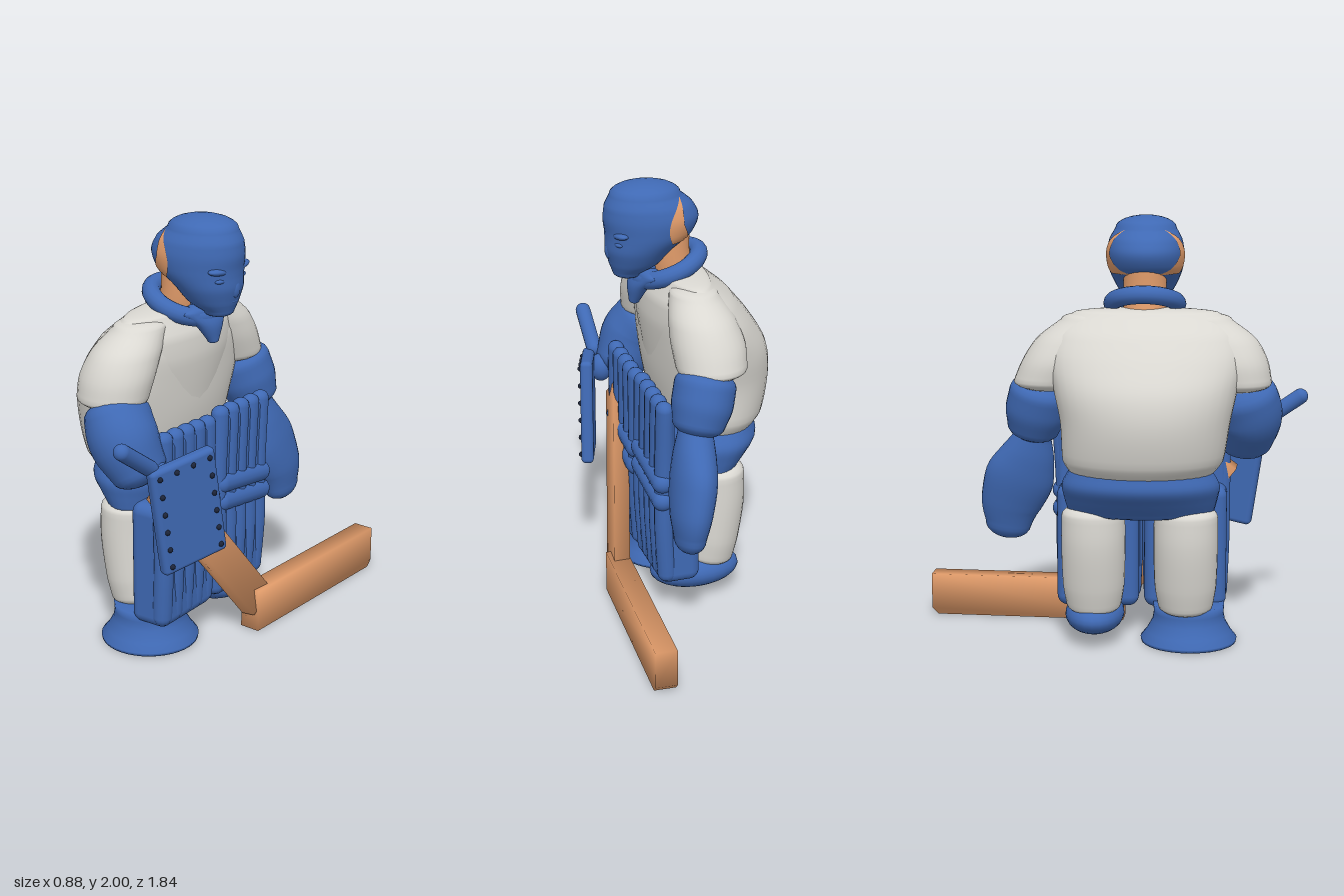
import * as THREE from 'three';
import { RoundedBoxGeometry } from 'three/addons/geometries/RoundedBoxGeometry.js';
import { mergeVertices } from 'three/addons/utils/BufferGeometryUtils.js';

const { Vector3, CatmullRomCurve3 } = THREE;

export function createModel() {
  const model = new THREE.Group();
  const mat = (name, color) => {
    const m = new THREE.MeshStandardMaterial({ color });
    m.name = name;
    return m;
  };
  const blue = mat('blue', 0x3f69b4);
  const white = mat('off white', 0xdad8d2);
  const wood = mat('wood and skin', 0xe39d6b);
  const dark = mat('dark rivets', 0x1c2438);
  wood.side = THREE.DoubleSide;

  const add = (name, geo, material, parent = model) => {
    const mesh = new THREE.Mesh(geo, material);
    mesh.name = name;
    parent.add(mesh);
    return mesh;
  };

  // smooth body through elliptical sections [x, y, z, radiusU, radiusZ], with domed ends
  const loft = (sections, { flat = false, cap = 0.6, sides = 28 } = {}) => {
    const path = new CatmullRomCurve3(sections.map(s => new Vector3(s[0], s[1], s[2])));
    const radii = new CatmullRomCurve3(sections.map(s => new Vector3(s[3], s[4], 0)));
    const up = new Vector3(0, Math.sign(sections[1][1] - sections[0][1]), 0);
    const rings = [], steps = (sections.length - 1) * 5, dome = 6;
    const ring = (t, scale, shift) => {
      const dir = flat ? up : path.getTangent(t);
      const r = radii.getPoint(t);
      const c = path.getPoint(t).addScaledVector(dir, shift * cap * Math.min(r.x, r.y));
      const u = new Vector3().crossVectors(dir, new Vector3(0, 0, 1)).normalize();
      const v = new Vector3().crossVectors(u, dir);
      rings.push({ c, u: u.multiplyScalar(r.x * scale), v: v.multiplyScalar(r.y * scale) });
    };
    for (let k = 0; k < dome; k++) {
      const a = (k / dome) * Math.PI / 2;
      ring(0, Math.max(Math.sin(a), 0.001), -Math.cos(a));
    }
    for (let i = 0; i <= steps; i++) ring(i / steps, 1, 0);
    for (let k = dome - 1; k >= 0; k--) {
      const a = (k / dome) * Math.PI / 2;
      ring(1, Math.max(Math.sin(a), 0.001), Math.cos(a));
    }
    const pos = [], idx = [];
    rings.forEach(({ c, u, v }, i) => {
      for (let j = 0; j < sides; j++) {
        const a = (j / sides) * Math.PI * 2;
        const p = c.clone().addScaledVector(u, Math.cos(a)).addScaledVector(v, Math.sin(a));
        pos.push(p.x, p.y, p.z);
        if (i === rings.length - 1) continue;
        const a0 = i * sides + j, a1 = i * sides + (j + 1) % sides;
        idx.push(a0, a0 + sides, a1, a1, a0 + sides, a1 + sides);
      }
    });
    const geo = new THREE.BufferGeometry();
    geo.setAttribute('position', new THREE.Float32BufferAttribute(pos, 3));
    geo.setIndex(idx);
    geo.computeVertexNormals();
    return geo;
  };

  const blob = (name, x, y, z, rx, ry, rz) => {
    const mesh = add(name, new THREE.SphereGeometry(1, 24, 16), blue);
    mesh.scale.set(rx, ry, rz);
    mesh.position.set(x, y, z);
    return mesh;
  };

  // wooden bars: shared corners with diagonal normals give soft shading
  const soften = geo => {
    geo.deleteAttribute('normal');
    geo.deleteAttribute('uv');
    const merged = mergeVertices(geo, 1e-4), p = merged.attributes.position;
    merged.computeBoundingBox();
    const mid = merged.boundingBox.getCenter(new Vector3()), normals = [];
    for (let i = 0; i < p.count; i++) {
      const n = new Vector3().fromBufferAttribute(p, i).sub(mid);
      n.set(Math.sign(n.x), Math.sign(n.y) * 0.7, Math.sign(n.z) * 0.5).normalize();
      normals.push(n.x, n.y, n.z);
    }
    merged.setAttribute('normal', new THREE.Float32BufferAttribute(normals, 3));
    return merged;
  };

  // jersey and shorts
  add('jersey', loft([
    [-0.14, 0.815, 0.14, 0.2, 0.31], [-0.155, 0.9, 0.15, 0.25, 0.37],
    [-0.16, 1.08, 0.16, 0.28, 0.39], [-0.14, 1.22, 0.16, 0.28, 0.42],
    [-0.09, 1.36, 0.16, 0.245, 0.45], [-0.05, 1.47, 0.16, 0.195, 0.43],
    [-0.02, 1.56, 0.16, 0.115, 0.34],
  ], { flat: true, cap: 0.22, sides: 40 }), white);
  add('jerseyChest', loft([
    [0.0, 0.95, 0.16, 0.1, 0.34], [0.01, 1.1, 0.16, 0.115, 0.38], [0.015, 1.25, 0.16, 0.12, 0.43],
    [0.015, 1.4, 0.16, 0.122, 0.44], [-0.005, 1.52, 0.16, 0.1, 0.39],
  ], { flat: true, cap: 0.5, sides: 40 }), white);
  add('shorts', loft([
    [-0.11, 0.65, 0.14, 0.16, 0.34], [-0.125, 0.71, 0.14, 0.195, 0.355],
    [-0.14, 0.78, 0.14, 0.23, 0.365], [-0.15, 0.85, 0.14, 0.21, 0.33],
  ], { flat: true, cap: 0.2, sides: 36 }), blue);

  // sleeves, arms and gloves
  add('rightSleeve', loft([[-0.01, 1.53, 0.42, 0.11, 0.135], [-0.02, 1.44, 0.5, 0.15, 0.17],
    [-0.03, 1.34, 0.555, 0.168, 0.167], [-0.035, 1.245, 0.585, 0.162, 0.155]],
    { flat: true, cap: 0.3 }), white);
  add('leftSleeve', loft([[-0.01, 1.53, -0.1, 0.11, 0.135], [-0.02, 1.44, -0.18, 0.15, 0.17],
    [-0.03, 1.34, -0.24, 0.168, 0.175], [-0.03, 1.245, -0.29, 0.162, 0.165]],
    { flat: true, cap: 0.3 }), white);
  add('rightArm', loft([[0.01, 1.17, 0.61, 0.14, 0.16], [0.06, 1.08, 0.635, 0.155, 0.16],
    [0.13, 0.95, 0.62, 0.125, 0.135]]), blue);
  blob('rightHand', 0.235, 0.93, 0.61, 0.055, 0.07, 0.06);
  add('leftArm', loft([[0.015, 1.18, -0.335, 0.14, 0.147], [0.035, 1.1, -0.355, 0.14, 0.148],
    [0.06, 1.01, -0.375, 0.12, 0.125]], { cap: 0.5 }), blue);
  add('catchingGlove', loft([[0.075, 0.97, -0.375, 0.08, 0.085], [0.09, 0.87, -0.405, 0.095, 0.13],
    [0.11, 0.75, -0.45, 0.1, 0.165], [0.135, 0.62, -0.495, 0.09, 0.145],
    [0.145, 0.52, -0.51, 0.07, 0.11]], { cap: 1.05 }), blue);

  // legs, skate boot and flared stand
  for (const [name, z] of [['rightLeg', 0.35], ['leftLeg', -0.08]]) {
    add(name, loft([[-0.125, 0.63, z, 0.135, 0.148], [-0.125, 0.5, z, 0.138, 0.15],
      [-0.105, 0.3, z, 0.13, 0.145], [-0.09, 0.2, z, 0.12, 0.13]], { cap: 0.4 }), white);
  }
  blob('leftFoot', -0.02, 0.13, -0.08, 0.22, 0.09, 0.14);
  const profile = [[0, 0], [0.225, 0], [0.228, 0.015], [0.2, 0.05], [0.172, 0.1],
    [0.165, 0.14], [0.168, 0.18], [0, 0.18]].map(p => new THREE.Vector2(...p));
  add('rightFootStand', new THREE.LatheGeometry(profile, 40), blue).position.set(-0.01, 0, 0.365);

  // ribbed leg pads
  for (const [side, z0, lean] of [['right', 0.345, 0], ['left', -0.07, -0.02]]) {
    const back = add(side + 'PadBack', new RoundedBoxGeometry(0.2, 0.59, 0.39, 4, 0.05), blue);
    back.position.set(0.105, 0.44, z0);
    const top = add(side + 'PadTop', new RoundedBoxGeometry(0.08, 0.42, 0.38, 4, 0.03), blue);
    top.position.set(0.17, 0.84, z0 + lean / 2);
    for (let i = -2; i <= 2; i++) {
      const z = z0 + i * 0.082;
      add(side + 'PadRib', loft([[0.165, 0.2, z * 0.96 + z0 * 0.04, 0.045, 0.045],
        [0.18, 0.45, z, 0.045, 0.047], [0.178, 0.72, z, 0.045, 0.048],
        [0.183, 1.05 + i * 0.004, z + lean, 0.04, 0.048]], { cap: 1, sides: 14 }), blue);
    }
    for (const y of [0.61, 0.7]) {
      const roll = add(side + 'KneeRoll', new THREE.CapsuleGeometry(0.05, 0.33, 6, 14), blue);
      roll.rotation.x = Math.PI / 2 - 0.13;
      roll.position.set(0.19, y, z0 - 0.015);
    }
  }

  // neck, scarf and head
  add('neck', loft([[-0.01, 1.5, 0.15, 0.09, 0.1], [0.03, 1.64, 0.15, 0.1, 0.1],
    [0.04, 1.78, 0.15, 0.11, 0.1]]), wood);
  const ring = new THREE.TorusGeometry(0.15, 0.042, 14, 36).rotateX(Math.PI / 2);
  const scarf = add('scarfRing', ring, blue);
  scarf.rotation.z = -0.38;
  scarf.position.set(0.03, 1.597, 0.15);
  add('scarfTail', loft([[0.195, 1.435, 0.15, 0.025, 0.03], [0.175, 1.51, 0.15, 0.048, 0.085],
    [0.14, 1.57, 0.15, 0.055, 0.15]], { flat: true }), blue);
  blob('scarfKnot', 0.135, 1.6, 0.15, 0.055, 0.05, 0.06);

  const headSections = [
    [0.225, 1.58, 0.15, 0.07, 0.07], [0.195, 1.62, 0.15, 0.115, 0.11],
    [0.17, 1.69, 0.15, 0.158, 0.15], [0.125, 1.76, 0.15, 0.203, 0.174],
    [0.113, 1.83, 0.15, 0.222, 0.18], [0.123, 1.89, 0.15, 0.206, 0.17],
    [0.14, 1.94, 0.15, 0.165, 0.143],
  ];
  add('head', loft(headSections, { flat: true, cap: 0.42, sides: 36 }), blue);
  for (const s of [-1, 1]) {
    const z = 0.15 + s * 0.075;
    blob('brow', 0.278, 1.775, z, 0.034, 0.018, 0.07).rotation.x = -s * 0.1;
    blob('eye', 0.285, 1.735, z, 0.022, 0.013, 0.036);
  }
  blob('nose', 0.31, 1.69, 0.15, 0.022, 0.045, 0.03);
  blob('mouth', 0.286, 1.632, 0.15, 0.028, 0.013, 0.05);

  // crescent openings on the sides of the mask, laid on the head surface
  const headCurve = new CatmullRomCurve3(headSections.map(s => new Vector3(s[0], s[1], s[2])));
  const headRadii = new CatmullRomCurve3(headSections.map(s => new Vector3(s[3], s[4], 0)));
  for (const s of [-1, 1]) {
    const patch = new THREE.PlaneGeometry(1, 1, 8, 16), p = patch.attributes.position;
    for (let i = 0; i < p.count; i++) {
      const v = p.getY(i) + 0.5, y = 1.735 + v * 0.203;
      let lo = 0, hi = 1;
      for (let k = 0; k < 24; k++) {
        const mid = (lo + hi) / 2;
        if (headCurve.getPoint(mid).y < y) lo = mid; else hi = mid;
      }
      const c = headCurve.getPoint(lo), r = headRadii.getPoint(lo);
      const left = -0.04 + 0.045 * Math.min(1, v * 2.2);
      const right = 0.005 + 0.075 * Math.sin(Math.PI * Math.min(1, 0.25 + v * 0.75));
      const x = left + (Math.max(right, left) - left) * (p.getX(i) + 0.5);
      const q = Math.sqrt(Math.max(0, 1 - ((x - c.x) / r.x) ** 2));
      p.setXYZ(i, x, y, 0.15 + s * (r.y * q + 0.005));
    }
    if (s < 0) {
      const id = patch.index.array;
      for (let i = 0; i < id.length; i += 3) [id[i], id[i + 1]] = [id[i + 1], id[i]];
    }
    patch.computeVertexNormals();
    add('maskOpening', patch, wood);
  }

  // blocker board with rivets round the edge
  const blocker = new THREE.Group();
  blocker.name = 'blocker';
  blocker.position.set(0.325, 0.77, 0.53);
  blocker.rotation.set(0.15, -0.31, 0, 'YXZ');
  model.add(blocker);
  add('blockerBoard', new RoundedBoxGeometry(0.06, 0.51, 0.345, 4, 0.022), blue, blocker);
  const rivet = new THREE.SphereGeometry(0.013, 10, 8);
  for (let i = 0; i < 6; i++) {
    for (let j = 0; j < 4; j++) {
      if (i < 5 && j > 0 && j < 3) continue;
      add('rivet', rivet, dark, blocker).position.set(0.03, -0.215 + i * 0.086, -0.135 + j * 0.09);
    }
  }

  // stick: knob, paddle and blade
  const between = (mesh, a, b) => {
    const y = b.clone().sub(a).normalize();
    const x = new Vector3(1, 0, 0).addScaledVector(y, -y.x).normalize();
    mesh.quaternion.setFromRotationMatrix(
      new THREE.Matrix4().makeBasis(x, y, new Vector3().crossVectors(x, y)));
    mesh.position.copy(a).lerp(b, 0.5);
  };
  const a = new Vector3(0.338, 0.13, -0.01), b = new Vector3(0.178, 0.85, 0.52);
  between(add('stickPaddle',
    soften(new THREE.BoxGeometry(0.075, a.distanceTo(b), 0.165)), wood), a, b);
  const k0 = new Vector3(0.245, 1.0, 0.69), k1 = new Vector3(0.245, 1.135, 0.885);
  between(add('stickKnob', new THREE.CapsuleGeometry(0.037, k0.distanceTo(k1), 8, 18), blue), k0, k1);

  const outline = new THREE.Shape([[0, 0], [0.93, 0], [0.96, 0.03], [0.96, 0.205], [0, 0.205]]
    .map(p => new THREE.Vector2(...p)));
  const bladeGeo = new THREE.ExtrudeGeometry(outline, { depth: 0.1, bevelEnabled: false })
    .translate(0, 0, -0.05).rotateY(Math.PI / 2);
  const blade = add('stickBlade', soften(bladeGeo), wood);
  blade.position.set(0.335, 0, 0.04);
  blade.rotation.y = -0.057;

  return model;
}
